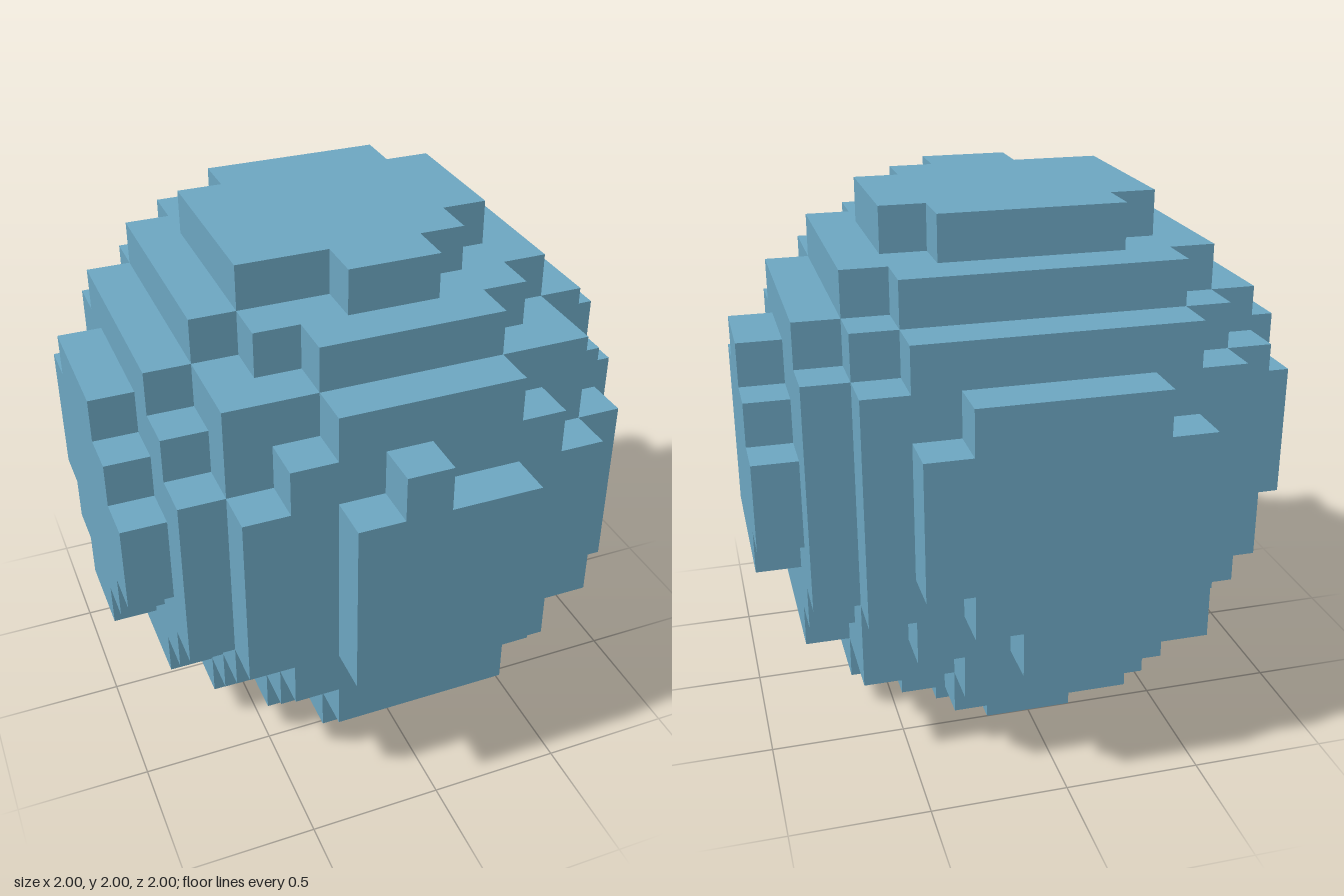
import * as THREE from 'three';
import { mergeGeometries } from 'three/addons/utils/BufferGeometryUtils.js';

const N = 12;             // cells along each side
const CELL = 2 / N;       // cell size
const CENTRE = [-0.045, 0.13, -0.1455]; // ball centre in cells, slightly off the grid
const LIMIT = 2 * (18.375 + 0.475);     // squared radius, before the centre shift

// True when the cell centred at (x, y, z), in cell units, lies inside the ball
function filled(x, y, z) {
  const shift = x * CENTRE[0] + y * CENTRE[1] + z * CENTRE[2];
  return x * x + y * y + z * z - 2 * shift < LIMIT;
}

// Six square cell sides, each facing outwards along its direction
const sides = [
  [1, 0, 0], [-1, 0, 0], [0, 1, 0], [0, -1, 0], [0, 0, 1], [0, 0, -1],
].map((dir) => {
  const turn = new THREE.Quaternion().setFromUnitVectors(
    new THREE.Vector3(0, 0, 1), new THREE.Vector3(...dir));
  if (dir[2] === -1) turn.setFromAxisAngle(new THREE.Vector3(0, 1, 0), Math.PI);
  const geometry = new THREE.PlaneGeometry(CELL, CELL)
    .translate(0, 0, CELL / 2)
    .applyQuaternion(turn);
  return { dir, geometry };
});

// Stepped skin: only the cell sides that border empty space
function blockBallGeometry() {
  const faces = [];
  const first = -N / 2 + 0.5;
  for (let x = first; x < N / 2; x++) {
    for (let y = first; y < N / 2; y++) {
      for (let z = first; z < N / 2; z++) {
        if (!filled(x, y, z)) continue;
        for (const { dir, geometry } of sides) {
          if (filled(x + dir[0], y + dir[1], z + dir[2])) continue;
          faces.push(geometry.clone().translate(x * CELL, y * CELL + 1, z * CELL));
        }
      }
    }
  }
  return mergeGeometries(faces);
}

export function createModel() {
  const group = new THREE.Group();
  group.name = 'blockBall';

  const blue = new THREE.MeshStandardMaterial({ color: 0x6ca6c1 });
  blue.name = 'softBlue';

  const ball = new THREE.Mesh(blockBallGeometry(), blue);
  ball.name = 'steppedBall';
  group.add(ball);
  return group;
}
